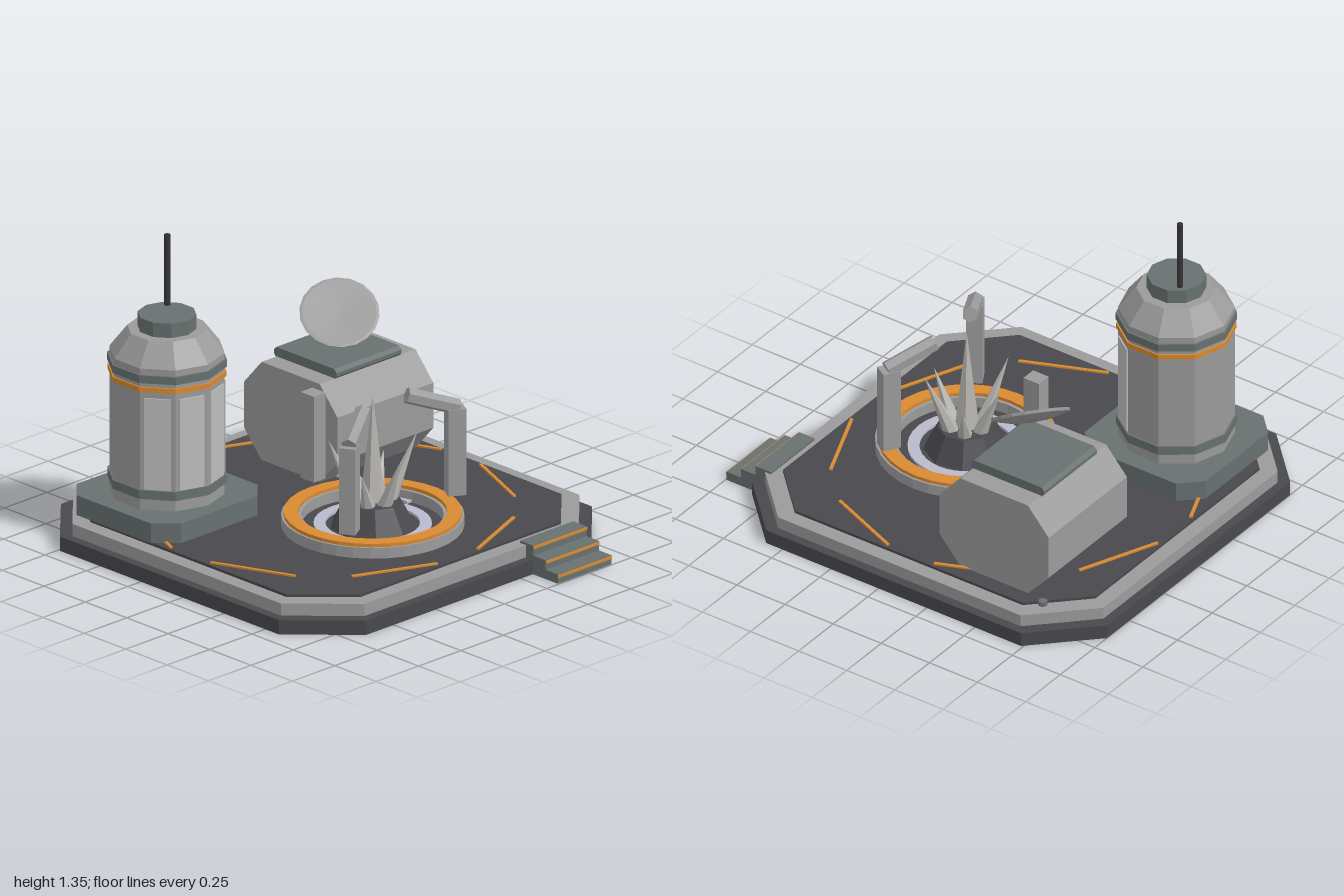
import * as THREE from 'three';

const paint = (name, color) => {
  const m = new THREE.MeshStandardMaterial({ color, flatShading: true });
  m.name = name;
  return m;
};

export function createModel() {
  const model = new THREE.Group();
  model.name = 'outpost';
  const steel = paint('light steel', 0x9b9b9b);
  const panel = paint('pale panel', 0xbcbcbc);
  const slate = paint('slate', 0x687070);
  const dark = paint('dark metal', 0x49494d);
  const black = paint('antenna black', 0x343436);
  const orange = paint('orange trim', 0xd88a30);
  const glow = paint('lavender conduit', 0xb9b9cd);
  const crystal = paint('crystal', 0xb8b6b2);

  const add = (name, geo, mat, x = 0, y = 0, z = 0, parent = model) => {
    const mesh = new THREE.Mesh(geo, mat);
    mesh.name = name;
    mesh.position.set(x, y, z);
    parent.add(mesh);
    return mesh;
  };
  const box = (w, h, d) => new THREE.BoxGeometry(w, h, d);

  // Rectangle with cut corners: cx and cy are the corner cuts
  const cutRect = (w, h, cx, cy) => new THREE.Shape([
    [-w + cx, -h], [w - cx, -h], [w, -h + cy], [w, h - cy],
    [w - cx, h], [-w + cx, h], [-w, h - cy], [-w, -h + cy],
  ].map(([x, y]) => new THREE.Vector2(x, y)));
  const extrude = (shape, depth) =>
    new THREE.ExtrudeGeometry(shape, { depth, bevelEnabled: false });
  const slab = (half, cut, h) => extrude(cutRect(half, half, cut, cut), h).rotateX(-Math.PI / 2);
  const ring = (ri, ro, h) => new THREE.LatheGeometry(
    [[ri, 0], [ro, 0], [ro, h], [ri, h], [ri, 0]].map(([r, y]) => new THREE.Vector2(r, y)), 32);

  // Platform
  const midZ = -0.078;
  add('platformFoot', slab(0.922, 0.26, 0.065), dark, 0, 0, midZ);
  add('platformRim', slab(0.88, 0.25, 0.055), steel, 0, 0.065, midZ);
  add('deck', slab(0.812, 0.22, 0.014), dark, 0, 0.118, midZ);
  for (let i = 0; i < 8; i++) {
    const a = Math.PI / 8 + i * Math.PI / 4;
    const strip = add('deckStripe', box(0.39, 0.009, 0.014), orange,
      Math.sin(a) * 0.78, 0.135, midZ + Math.cos(a) * 0.78);
    strip.rotation.y = a;
  }

  // Front steps with edge trim
  [[0.845, 0.13], [0.92, 0.085], [0.995, 0.042]].forEach(([front, h]) => {
    add('step', box(0.315, h, 0.08), slate, 0.478, h / 2, front - 0.04);
    add('stepTrim', box(0.315, 0.012, 0.006), orange, 0.478, h - 0.009, front + 0.002);
  });

  // Tower
  const tower = new THREE.Group();
  tower.name = 'tower';
  tower.position.set(-0.5, 0, -0.525);
  model.add(tower);
  add('towerBase', slab(0.315, 0.09, 0.09), slate, 0, 0.13, 0, tower);
  const tier = (name, r0, r1, y0, y1, mat) =>
    add(name, new THREE.CylinderGeometry(r1, r0, y1 - y0, 10), mat, 0, (y0 + y1) / 2, 0, tower);
  tier('towerBody', 0.247, 0.247, 0.22, 0.86, steel);
  tier('lowerCollar', 0.255, 0.255, 0.27, 0.31, slate);
  tier('orangeBand', 0.254, 0.254, 0.755, 0.778, orange);
  tier('upperCollar', 0.256, 0.256, 0.797, 0.832, slate);
  tier('towerShoulder', 0.247, 0.17, 0.86, 0.96, steel);
  tier('towerCap', 0.126, 0.126, 0.96, 1.025, slate);
  add('antenna', new THREE.CylinderGeometry(0.013, 0.013, 0.325, 8), black, 0.065, 1.183, -0.065, tower);
  for (const deg of [-54, -18, 18, 54]) {
    const a = THREE.MathUtils.degToRad(deg);
    const p = add('towerPanel', box(0.115, 0.415, 0.009), panel,
      Math.sin(a) * 0.236, 0.52, Math.cos(a) * 0.236, tower);
    p.rotation.y = a;
  }

  // Storage tank, hatch and dish
  const alongX = (shape, len) => extrude(shape, len).rotateY(Math.PI / 2);
  add('tank', alongX(cutRect(0.283, 0.224, 0.108, 0.122), 0.565), steel, 0.175, 0.354, -0.47);
  add('tankHatch', alongX(cutRect(0.19, 0.023, 0.015, 0.015), 0.383), slate, 0.264, 0.597, -0.473);
  const dishProfile = [[0, -0.035], [0.09, -0.026], [0.165, -0.006], [0.17, 0.006], [0.158, 0.008], [0, 0]];
  const dish = add('dish', new THREE.LatheGeometry(
    dishProfile.map(([r, y]) => new THREE.Vector2(r, y)), 18), steel, 0.43, 0.788, -0.437);
  dish.quaternion.setFromUnitVectors(new THREE.Vector3(0, 1, 0),
    new THREE.Vector3(-0.41, 0.787, 0.47).normalize());
  add('deckStub', new THREE.CylinderGeometry(0.02, 0.02, 0.02, 8), slate, 0.77, 0.14, -0.745);
  add('conduit', box(0.035, 0.012, 0.44), glow, 0.283, 0.138, -0.08);

  // Crystal pad
  const pad = new THREE.Group();
  pad.name = 'crystalPad';
  pad.position.set(0, 0, 0.205);
  model.add(pad);
  add('padRing', ring(0.3, 0.387, 0.05), steel, 0, 0.13, 0, pad);
  add('padTrim', ring(0.315, 0.377, 0.015), orange, 0, 0.18, 0, pad);
  add('glowRing', ring(0.2, 0.25, 0.012), glow, 0, 0.131, 0, pad);
  add('crystalRock', new THREE.CylinderGeometry(0.125, 0.185, 0.115, 9), dark, 0, 0.188, 0, pad);

  // Crystal spikes
  const up = new THREE.Vector3(0, 1, 0);
  const between = (mesh, from, to) => {
    mesh.position.copy(from).add(to).multiplyScalar(0.5);
    mesh.quaternion.setFromUnitVectors(up, to.clone().sub(from).normalize());
  };
  const spike = (from, to, r) => between(
    add('crystalSpike', new THREE.ConeGeometry(r, from.distanceTo(to), 6), crystal, 0, 0, 0, pad), from, to);
  spike(new THREE.Vector3(0, 0.22, 0), new THREE.Vector3(0, 0.72, 0), 0.058);
  [0.47, 0.54, 0.41, 0.47, 0.54, 0.41].forEach((h, i) => {
    const a = i * Math.PI / 3, s = Math.sin(a), c = Math.cos(a);
    const reach = h > 0.5 ? 0.195 : 0.17;
    spike(new THREE.Vector3(s * 0.065, 0.22, c * 0.065), new THREE.Vector3(s * reach, h, c * reach), 0.038);
  });

  // Pylons around the pad; the front two carry arms
  [Math.PI / 3, -Math.PI / 3, Math.PI].forEach((a, i) => {
    const pylon = new THREE.Group();
    pylon.name = 'pylon';
    pylon.rotation.y = a;
    pad.add(pylon);
    add('pylonPost', box(0.07, 0.39, 0.08), steel, 0, 0.435, 0.36, pylon);
    if (i < 2) {
      const arm = add('pylonArm', new THREE.CylinderGeometry(0.036, 0.036, 0.235, 6), steel, 0, 0, 0, pylon);
      between(arm, new THREE.Vector3(0, 0.632, 0.37), new THREE.Vector3(0, 0.705, 0.15));
    }
  });

  return model;
}
